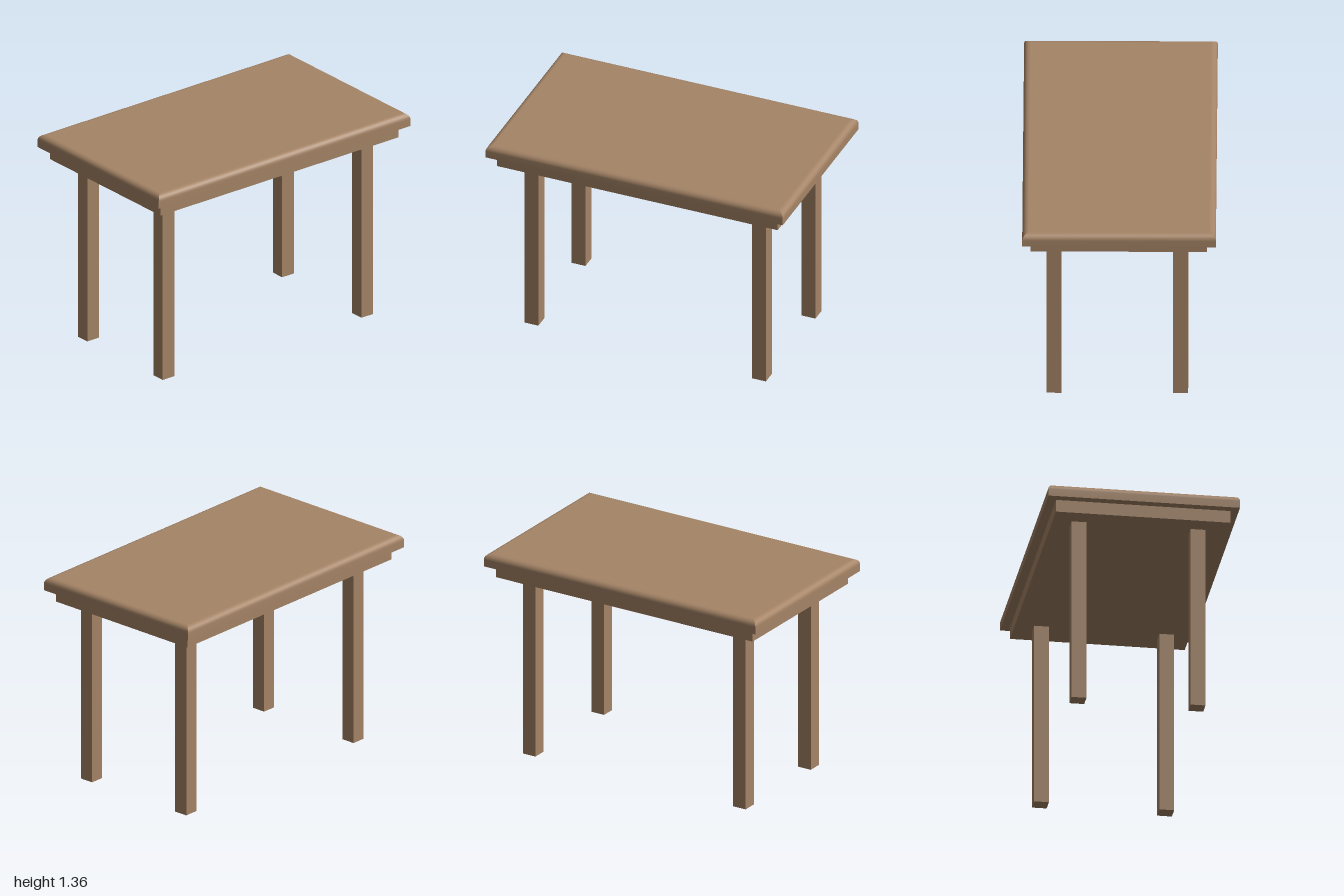
import * as THREE from 'three';
import { mergeGeometries } from 'three/addons/utils/BufferGeometryUtils.js';

const HALF_X = 1, HALF_Z = 0.6;

// Edge profile of the top: [inset from the rim, height]
const RADIUS = 0.037, TOP = 1.364;
const PROFILE = [[0, 1.28]];
for (let i = 0; i <= 5; i++) {
  const a = (i / 5) * Math.PI / 2;
  PROFILE.push([RADIUS * (1 - Math.cos(a)), TOP - RADIUS * (1 - Math.sin(a))]);
}

// One mitred side of the top, smooth along the profile and sharp at the corners
function rimSide(halfLength, halfDepth, turn) {
  const positions = [], index = [];
  PROFILE.forEach(([inset, y], i) => {
    positions.push(-halfLength + inset, y, halfDepth - inset, halfLength - inset, y, halfDepth - inset);
    if (i) {
      const a = 2 * (i - 1);
      index.push(a, a + 1, a + 3, a, a + 3, a + 2);
    }
  });
  const geometry = new THREE.BufferGeometry();
  geometry.setAttribute('position', new THREE.Float32BufferAttribute(positions, 3));
  geometry.setIndex(index);
  geometry.computeVertexNormals();
  return geometry.rotateY(turn * Math.PI / 2);
}

// Horizontal face, facing up or down
function flatFace(width, depth, y, up) {
  const geometry = new THREE.PlaneGeometry(width, depth);
  geometry.deleteAttribute('uv');
  return geometry.rotateX(up ? -Math.PI / 2 : Math.PI / 2).translate(0, y, 0);
}

export function createModel() {
  const group = new THREE.Group();
  group.name = 'table';
  const wood = new THREE.MeshStandardMaterial({ color: 0xa58466 });
  wood.name = 'brown wood';

  const add = (name, geometry, x = 0, y = 0, z = 0) => {
    const mesh = new THREE.Mesh(geometry, wood);
    mesh.name = name;
    mesh.position.set(x, y, z);
    group.add(mesh);
  };

  // Table top with rounded upper edges
  const parts = [
    flatFace(2 * (HALF_X - RADIUS), 2 * (HALF_Z - RADIUS), TOP, true),
    flatFace(2 * HALF_X, 2 * HALF_Z, 1.28, false),
  ];
  for (let turn = 0; turn < 4; turn++) {
    parts.push(turn % 2 ? rimSide(HALF_Z, HALF_X, turn) : rimSide(HALF_X, HALF_Z, turn));
  }
  add('tableTop', mergeGeometries(parts));

  // Solid apron under the top
  add('apron', new THREE.BoxGeometry(1.888, 0.08, 1.094), 0, 1.24, 0.002);

  // Four square legs, the front right one set slightly further in
  const leg = new THREE.BoxGeometry(0.093, 1.2, 0.093);
  add('frontLeftLeg', leg, 0.777, 0.6, 0.404);
  add('frontRightLeg', leg, -0.771, 0.6, 0.365);
  add('backLeftLeg', leg, 0.777, 0.6, -0.381);
  add('backRightLeg', leg, -0.771, 0.6, -0.381);

  return group;
}
